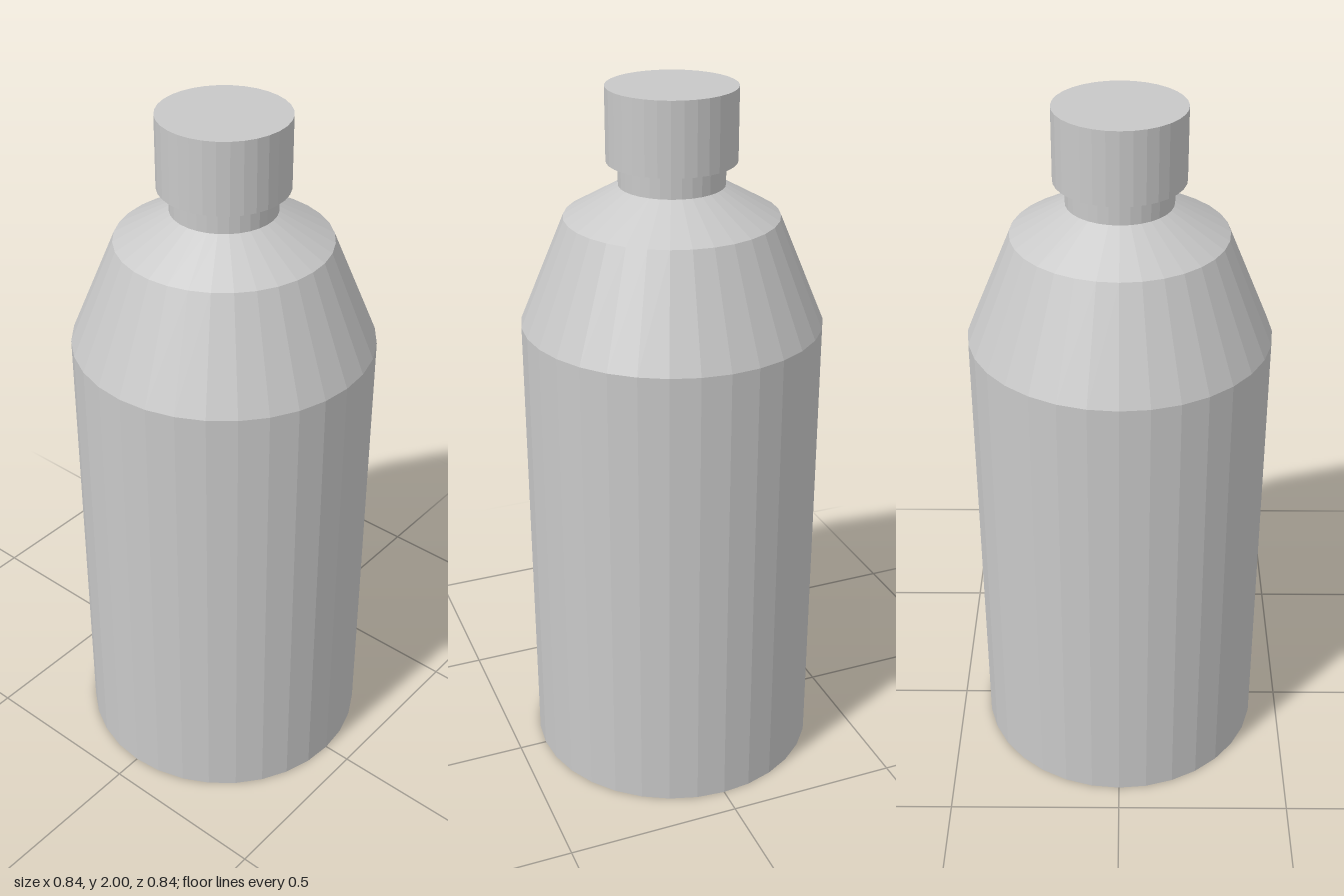
import * as THREE from 'three';

const SIDES = 32;

export function createModel() {
  const bottle = new THREE.Group();
  bottle.name = 'bottle';

  const grey = new THREE.MeshStandardMaterial({ color: 0xc8c8c8, flatShading: true });
  grey.name = 'light grey';

  // One straight or tapered ring of the bottle between two heights
  function section(name, bottomRadius, topRadius, y0, y1, open) {
    const geometry = new THREE.CylinderGeometry(topRadius, bottomRadius, y1 - y0, SIDES, 1, open);
    const mesh = new THREE.Mesh(geometry, grey);
    mesh.name = name;
    mesh.position.y = (y0 + y1) / 2;
    bottle.add(mesh);
  }

  section('lowerShoulder', 0.42, 0.295, 1.35, 1.65, true);
  section('upperShoulder', 0.295, 0.145, 1.65, 1.735, true);
  section('neck', 0.145, 0.145, 1.735, 1.8, true);
  section('cap', 0.177, 0.177, 1.8, 2, false);
  section('body', 0.42, 0.42, 0, 1.35, true);

  // Flat underside closing the body
  const base = new THREE.Mesh(new THREE.CircleGeometry(0.42, SIDES), grey);
  base.name = 'base';
  base.rotation.x = Math.PI / 2;
  bottle.add(base);

  return bottle;
}
